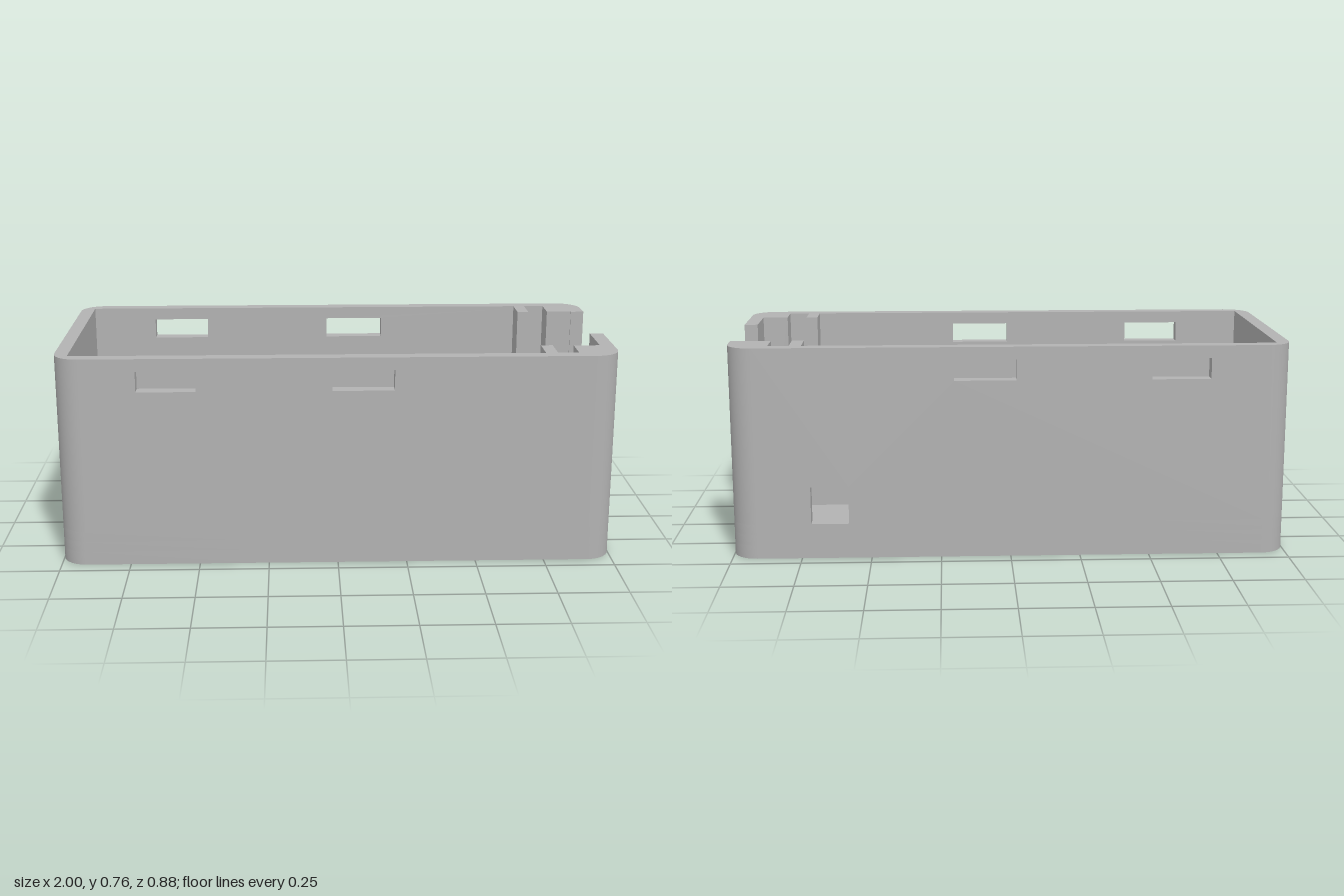
import * as THREE from 'three';
import { toCreasedNormals } from 'three/addons/utils/BufferGeometryUtils.js';

const X = 1, Z = 0.4425, H = 0.765;          // outer half sizes and height
const R = 0.09, T = 0.05;                    // corner radius, wall thickness
const FLOOR = 0.127, SLOT = 0.088;           // floor top, dovetail depth

export function createModel() {
  const group = new THREE.Group();
  const grey = new THREE.MeshStandardMaterial({ color: 0xb2b2b2 });
  grey.name = 'grey plastic';

  const add = (name, geo, x = 0, y = 0, z = 0) => {
    const mesh = new THREE.Mesh(geo, grey);
    mesh.name = name;
    mesh.position.set(x, y, z);
    group.add(mesh);
  };
  const poly = (pts) => new THREE.Shape(pts.map(([a, b]) => new THREE.Vector2(a, b)));
  const rect = (x0, x1, y0, y1) => [[x0, y0], [x1, y0], [x1, y1], [x0, y1]];
  const extrude = (shape, depth) => toCreasedNormals(
    new THREE.ExtrudeGeometry(shape, { depth, bevelEnabled: false, curveSegments: 16 }), 0.5);
  // plan shape (x, -z) raised along y
  const raise = (shape, height) => extrude(shape, height).rotateX(-Math.PI / 2);
  // side shape (z, y) extruded towards -x
  const sweep = (shape, depth) => extrude(shape, depth).rotateY(-Math.PI / 2);
  const block = (name, x0, x1, y0, y1, z0, z1) => add(name,
    new THREE.BoxGeometry(x1 - x0, y1 - y0, z1 - z0),
    (x0 + x1) / 2, (y0 + y1) / 2, (z0 + z1) / 2);
  const arc = (cx, cy, from) => Array.from({ length: 13 }, (_, i) => {
    const a = from + (i / 12) * Math.PI / 2;
    return [cx + R * Math.cos(a), cy + R * Math.sin(a)];
  });

  // base layers: rounded plan with end notch, dovetail channel and round pockets
  const baseLayer = (name, y0, y1, notch, channel) => {
    const q = Math.PI / 2;
    const pts = [...arc(X - R, Z - R, 0), ...arc(-X + R, Z - R, q)];
    if (notch) pts.push([-X, 0.15], [-0.925, 0.15], [-0.925, -0.15], [-X, -0.15]);
    pts.push(...arc(-X + R, -Z + R, 2 * q), ...arc(X - R, -Z + R, 3 * q));
    if (channel) pts.push([X, -0.173], [-0.43, -0.173], [-0.43, 0.173], [X, 0.173]);
    const shape = poly(pts);
    if (channel) {
      for (const s of [-1, 1]) {
        shape.holes.push(new THREE.Path().absarc(0.88, s * 0.27, 0.046, 0, Math.PI * 2, true));
      }
    }
    add(name, raise(shape, y1 - y0), 0, y0, 0);
  };
  baseLayer('baseBottom', 0, 0.05, false, true);
  baseLayer('baseMiddle', 0.05, SLOT, true, true);
  baseLayer('baseFloor', SLOT, FLOOR, true, false);

  // slanted lips of the dovetail channel
  for (const s of [-1, 1]) {
    const lip = poly([[s * 0.13, 0], [s * 0.173, 0], [s * 0.173, SLOT]]);
    add('dovetailLip', sweep(lip, 1.43), X);
  }

  // long walls with vent slots; the back one also has a small port
  const longWall = (name, z, port) => {
    const x = X - R;
    const pts = [[-x, FLOOR]];
    if (port) pts.push([0.58, FLOOR], [0.58, 0.262], [0.715, 0.262], [0.715, FLOOR]);
    pts.push([x, FLOOR], [x, H], [-x, H]);
    const shape = poly(pts);
    for (const [a, b] of [[-0.71, -0.5], [-0.02, 0.2]]) {
      shape.holes.push(poly(rect(a, b, 0.645, 0.72)));
    }
    add(name, extrude(shape, T), 0, 0, z);
  };
  longWall('frontWall', Z - T, false);
  longWall('backWall', -Z, true);

  // end walls: deep cutout at +x, low window at -x
  const w = Z - R;
  add('cutoutEndWall', sweep(poly([[-w, FLOOR], [w, FLOOR], [w, H], [0.1, H],
    [0.1, 0.463], [-0.28, 0.463], [-0.28, H], [-w, H]]), T), X);
  add('windowEndWall', sweep(poly([[-w, FLOOR], [-0.15, FLOOR], [-0.15, 0.277],
    [0.15, 0.277], [0.15, FLOOR], [w, FLOOR], [w, H], [-w, H]]), T), -X + T);

  // rounded outer corners, square inside
  for (const sx of [-1, 1]) {
    for (const sz of [-1, 1]) {
      const k = R - T;
      const pts = [...arc(0, 0, 0), [0, k], [k, k], [k, 0]];
      const shape = poly(pts.map(([a, b]) => [sx * (X - R + a), sz * (Z - R + b)]));
      add('wallCorner', raise(shape, H - FLOOR), 0, FLOOR, 0);
    }
  }

  // inner fittings mirrored front to back
  const inner = Z - T;
  const pair = (name, x0, x1, y1, za, zb) => {
    block(name, x0, x1, FLOOR, y1, za, zb);
    block(name, x0, x1, FLOOR, y1, -zb, -za);
  };
  pair('guideRib', 0.737, 0.78, H, 0.28, inner);
  pair('cornerBlock', 0.855, X - T, H, 0.285, inner);
  pair('supportRail', 0.41, 0.9, 0.47, 0.135, 0.19);
  pair('restNub', -0.675, -0.63, 0.355, 0.34, inner);
  pair('restNub', 0.067, 0.11, 0.355, 0.34, inner);

  // low partition across the tray
  block('partition', 0.355, 0.4, FLOOR, 0.29, -inner, inner);

  return group;
}
